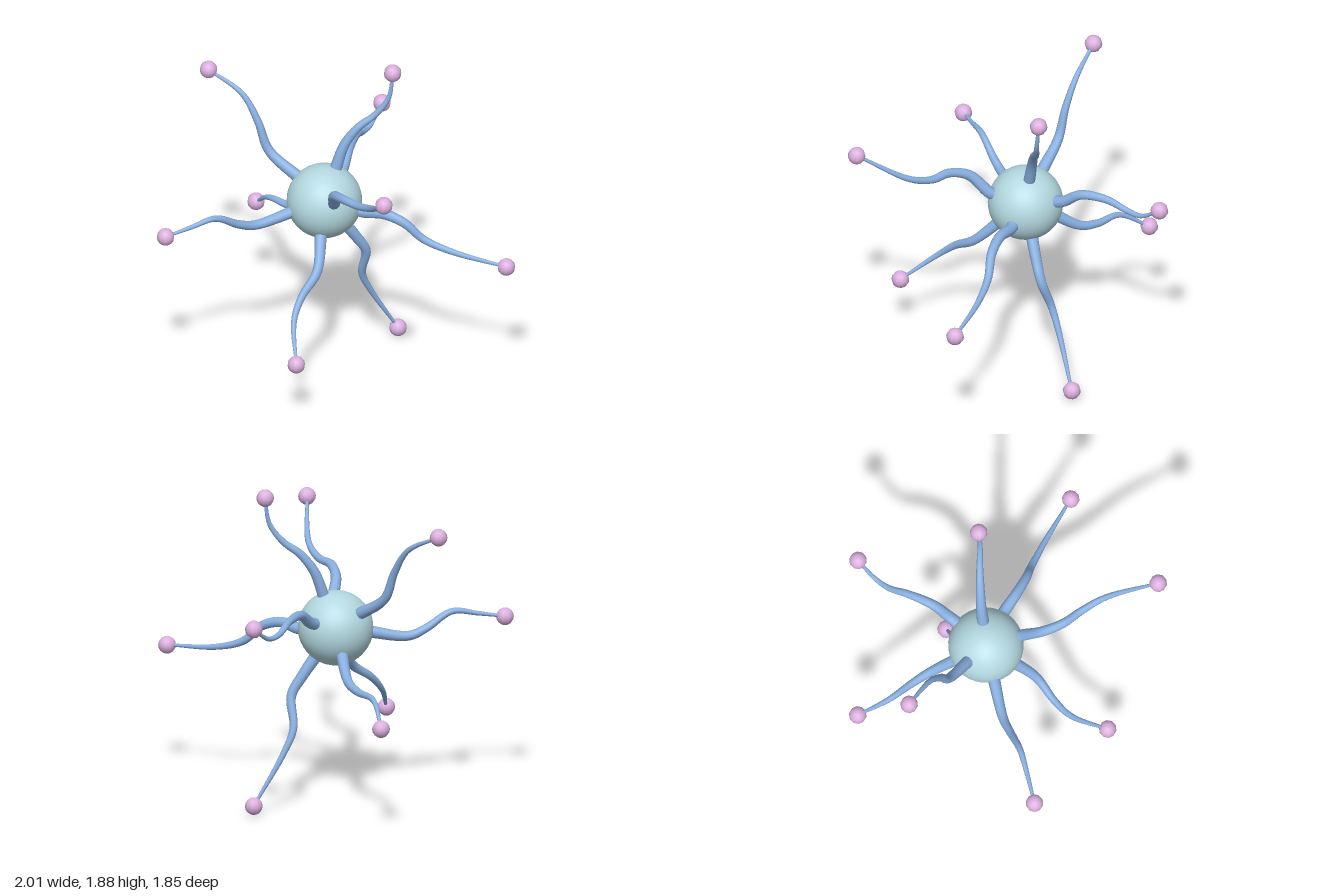
import * as THREE from 'three';

const CENTER = new THREE.Vector3(0.03, 1.051, -0.122);
const BODY_RADIUS = 0.216;
const TIP_RADIUS = 0.051;

// Bends of each tentacle, from the first one outside the body to the tip
const BENDS = [
  [[0.153, 1.39, -0.137], [0.233, 1.495, -0.133], [0.329, 1.567, -0.125], [0.408, 1.674, -0.114], [0.433, 1.828, -0.12]],
  [[-0.232, 1.284, -0.362], [-0.285, 1.455, -0.415], [-0.357, 1.605, -0.49], [-0.521, 1.716, -0.623]],
  [[0.034, 1.143, 0.085], [0.003, 1.258, 0.2], [0.023, 1.301, 0.32], [0.083, 1.308, 0.43], [0.13, 1.36, 0.57], [0.117, 1.55, 0.877]],
  [[0.19, 1.137, -0.312], [0.248, 1.207, -0.4], [0.328, 1.21, -0.535], [0.393, 1.165, -0.64], [0.458, 1.16, -0.71], [0.55, 1.245, -0.8]],
  [[-0.392, 0.979, -0.07], [-0.497, 1.015, -0.04], [-0.647, 1.098, 0.003], [-0.797, 1.076, 0.028], [-0.953, 1.048, 0.05]],
  [[0.232, 1.015, 0.003], [0.328, 1.032, 0.085], [0.433, 0.992, 0.153], [0.533, 0.895, 0.193], [0.683, 0.837, 0.28], [0.95, 0.802, 0.465]],
  [[-0.017, 0.821, -0.45], [-0.064, 0.791, -0.56], [-0.142, 0.78, -0.7], [-0.172, 0.66, -0.88]],
  [[-0.087, 0.75, 0.155], [-0.202, 0.65, 0.245], [-0.27, 0.55, 0.335], [-0.311, 0.385, 0.54]],
  [[0.223, 0.775, -0.147], [0.286, 0.665, -0.164], [0.28, 0.485, -0.225], [0.34, 0.345, -0.256], [0.512, 0.052, -0.298]],
];

// Tube whose rings shrink evenly from the root radius to the end radius
function taperedTube(curve, rootRadius, endRadius, segments = 48, sides = 10) {
  const geometry = new THREE.TubeGeometry(curve, segments, 1, sides, false);
  const position = geometry.attributes.position;
  const vertex = new THREE.Vector3();
  for (let i = 0; i < position.count; i++) {
    const t = Math.floor(i / (sides + 1)) / segments;
    const middle = curve.getPointAt(t);
    const radius = THREE.MathUtils.lerp(rootRadius, endRadius, t);
    vertex.fromBufferAttribute(position, i).sub(middle).multiplyScalar(radius).add(middle);
    position.setXYZ(i, vertex.x, vertex.y, vertex.z);
  }
  return geometry;
}

function flatColor(name, color) {
  const material = new THREE.MeshStandardMaterial({ color });
  material.name = name;
  return material;
}

export function createModel() {
  const group = new THREE.Group();
  group.name = 'tentacledBall';
  const bodyColor = flatColor('paleTeal', 0xb3d8e0);
  const tentacleColor = flatColor('softBlue', 0x88afe0);
  const tipColor = flatColor('lilac', 0xdcb0df);

  // Round body
  const body = new THREE.Mesh(new THREE.SphereGeometry(BODY_RADIUS, 32, 24), bodyColor);
  body.name = 'body';
  body.position.copy(CENTER);
  group.add(body);

  // Wavy tentacles, each rooted just under the body surface and ending in a small ball
  const tipGeometry = new THREE.SphereGeometry(TIP_RADIUS, 10, 8);
  BENDS.forEach((bends, i) => {
    const points = bends.map((p) => new THREE.Vector3(...p));
    const root = points[0].clone().sub(CENTER).setLength(BODY_RADIUS * 0.85).add(CENTER);
    const curve = new THREE.CatmullRomCurve3([root, ...points]);
    const tentacle = new THREE.Mesh(taperedTube(curve, 0.036, 0.008), tentacleColor);
    tentacle.name = `tentacle${i + 1}`;

    const tip = new THREE.Mesh(tipGeometry, tipColor);
    tip.name = `tentacleTip${i + 1}`;
    tip.position.copy(points[points.length - 1]);
    group.add(tentacle, tip);
  });
  return group;
}
